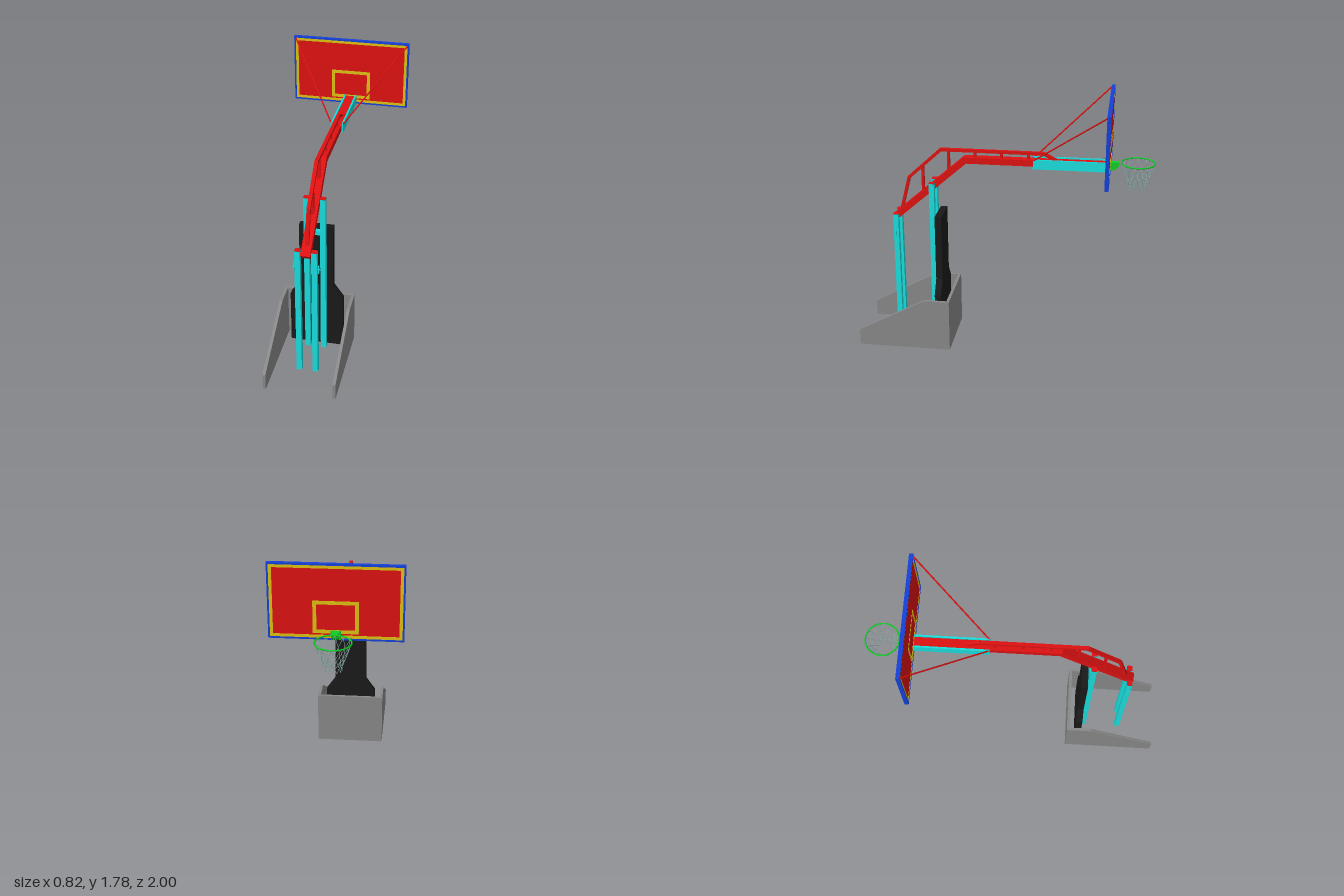
import * as THREE from 'three';

const mat = (color, side = THREE.FrontSide) => new THREE.MeshStandardMaterial({ color, side });
const red = mat(0xdd1111), cyan = mat(0x1adddd), black = mat(0x1a1a1a), grey = mat(0x888888);
const blue = mat(0x1540d8), yellow = mat(0xddc012), green = mat(0x11cc28), netMat = mat(0x8fb5b0);

function add(parent, name, geometry, material) {
  const mesh = new THREE.Mesh(geometry, material);
  mesh.name = name;
  parent.add(mesh);
  return mesh;
}

// Box given by its min and max corners
function box(parent, name, material, [x0, y0, z0], [x1, y1, z1]) {
  const m = add(parent, name, new THREE.BoxGeometry(x1 - x0, y1 - y0, z1 - z0), material);
  m.position.set((x0 + x1) / 2, (y0 + y1) / 2, (z0 + z1) / 2);
  return m;
}

// Side profile in (z, y), extruded along x and centred on x = cx
function sideProfile(parent, name, material, pts, width, cx = 0) {
  const shape = new THREE.Shape(pts.map(p => new THREE.Vector2(...p)));
  const g = new THREE.ExtrudeGeometry(shape, { depth: width, bevelEnabled: false });
  g.translate(0, 0, -width / 2).rotateY(-Math.PI / 2).translate(cx, 0, 0);
  return add(parent, name, g, material);
}

// Constant-thickness mitred outline around a polyline in (z, y)
function band(path, t) {
  const p = path.map(q => new THREE.Vector2(...q));
  const normal = i => {
    const d = p[i + 1].clone().sub(p[i]).normalize();
    return new THREE.Vector2(-d.y, d.x);
  };
  const a = [], b = [];
  p.forEach((q, i) => {
    const n0 = normal(Math.max(i - 1, 0)), n1 = normal(Math.min(i, p.length - 2));
    const m = n0.clone().add(n1).normalize();
    m.multiplyScalar(t / 2 / m.dot(n0));
    a.push([q.x + m.x, q.y + m.y]);
    b.unshift([q.x - m.x, q.y - m.y]);
  });
  return a.concat(b);
}

// Round rod between two points
function rod(parent, name, material, a, b, r, sides = 8) {
  const p = new THREE.Vector3(...a), q = new THREE.Vector3(...b);
  const d = q.clone().sub(p);
  const m = add(parent, name, new THREE.CylinderGeometry(r, r, d.length(), sides), material);
  m.position.copy(p).add(q).multiplyScalar(0.5);
  m.quaternion.setFromUnitVectors(new THREE.Vector3(0, 1, 0), d.normalize());
  return m;
}

// Rectangular frame with a border of width w, facing z
function frame(parent, name, material, [x0, y0, x1, y1], w, z, depth) {
  const rect = (C, a, b, c, d) => {
    const s = new C();
    s.moveTo(a, b); s.lineTo(c, b); s.lineTo(c, d); s.lineTo(a, d); s.closePath();
    return s;
  };
  const s = rect(THREE.Shape, x0, y0, x1, y1);
  s.holes.push(rect(THREE.Path, x0 + w, y0 + w, x1 - w, y1 - w));
  const g = new THREE.ExtrudeGeometry(s, { depth, bevelEnabled: false });
  return add(parent, name, g.translate(0, 0, z - depth / 2), material);
}

function makeBase() {
  const g = new THREE.Group();
  g.name = 'base';
  // Open housing: two sloping side walls and one cross wall
  const side = [[1, 0], [1, 0.115], [0.53, 0.37], [0.355, 0.37], [0.355, 0]];
  for (const s of [-1, 1]) sideProfile(g, 'sideWall', grey, side, 0.02, s * 0.23);
  box(g, 'crossWall', grey, [-0.22, 0, 0.355], [0.22, 0.37, 0.375]);

  // Protective pad, wide below and narrow above
  const half = [[0.18, 0.01], [0.18, 0.39], [0.113, 0.485], [0.113, 0.945]];
  const outline = [...half, ...half.map(([x, y]) => [-x, y]).reverse()];
  const pad = new THREE.ExtrudeGeometry(
    new THREE.Shape(outline.map(p => new THREE.Vector2(...p))), { depth: 0.045, bevelEnabled: false });
  add(g, 'pad', pad.translate(0, 0, 0.42), black);
  return g;
}

function makePosts() {
  const g = new THREE.Group();
  g.name = 'posts';
  for (const s of [-1, 1]) {
    for (const [name, z, top] of [['frontPost', 0.49, 1.175], ['rearPost', 0.746, 0.94]]) {
      const x = s * 0.054;
      box(g, name, cyan, [x - 0.018, 0, z - 0.018], [x + 0.018, top - 0.004, z + 0.018]);
      box(g, name + 'Cap', red, [x - 0.018, top - 0.004, z - 0.018], [x + 0.018, top, z + 0.018]);
    }
    // Latch plate on the outer face of each rear post
    box(g, 'latch', cyan, [s * 0.08 - 0.003, 0.78, 0.742], [s * 0.08 + 0.003, 0.84, 0.75]);
    rod(g, 'latchPin', cyan, [s * 0.07, 0.81, 0.746], [s * 0.09, 0.81, 0.746], 0.004);
  }
  box(g, 'crossBar', cyan, [-0.036, 0.905, 0.475], [0.036, 0.935, 0.505]);
  rod(g, 'frontAxle', red, [-0.06, 1.14, 0.49], [0.06, 1.14, 0.49], 0.008);
  rod(g, 'rearAxle', red, [-0.06, 0.915, 0.746], [0.06, 0.915, 0.746], 0.008);
  return g;
}

function makeArm() {
  const g = new THREE.Group();
  g.name = 'arm';
  const lower = [[0.762, 0.9], [0.265, 1.335], [-0.682, 1.335]];
  sideProfile(g, 'mainBeam', red, band(lower, 0.042), 0.062);
  const upper = [[0.722, 0.93], [0.657, 1.19], [0.432, 1.397], [-0.262, 1.397], [-0.35, 1.352]];
  sideProfile(g, 'upperBeam', red, band(upper, 0.02), 0.024);
  for (const [z, y0, y1] of [[0.56, 1.08, 1.28], [0.38, 1.235, 1.397], [0.2, 1.335, 1.397],
    [0.02, 1.335, 1.397], [-0.16, 1.335, 1.397]])
    box(g, 'strut', red, [-0.011, y0, z - 0.009], [0.011, y1, z + 0.009]);

  // Open-topped channel carrying the board
  for (const s of [-1, 1])
    box(g, 'channelSide', cyan, [s * 0.038 - 0.006, 1.3, -0.684], [s * 0.038 + 0.006, 1.365, -0.195]);
  box(g, 'channelFloor', cyan, [-0.032, 1.3, -0.684], [0.032, 1.312, -0.195]);

  // Diagonal stays to the top corners of the board
  for (const s of [-1, 1])
    rod(g, 'stay', red, [s * 0.04, 1.36, -0.2], [s * 0.403, 1.772, -0.69], 0.005);
  return g;
}

function makeBoard() {
  const g = new THREE.Group();
  g.name = 'backboard';
  const z = -0.695;
  box(g, 'panel', red, [-0.4, 1.31, z - 0.009], [0.4, 1.77, z + 0.009]);
  frame(g, 'rim', blue, [-0.41, 1.3, 0.41, 1.78], 0.011, z, 0.026);
  frame(g, 'borderLine', yellow, [-0.4, 1.31, 0.4, 1.77], 0.02, z, 0.021);
  frame(g, 'targetLine', yellow, [-0.137, 1.34, 0.14, 1.548], 0.023, z, 0.021);
  return g;
}

function makeHoop() {
  const g = new THREE.Group();
  g.name = 'hoop';
  const cz = -0.886, y = 1.36;
  sideProfile(g, 'bracket', green,
    [[-0.707, 1.305], [-0.707, 1.36], [-0.765, 1.362], [-0.76, 1.335], [-0.73, 1.31]], 0.042);
  box(g, 'mountPlate', green, [-0.03, 1.305, -0.716], [0.03, 1.36, -0.706]);
  const ring = add(g, 'ring', new THREE.TorusGeometry(0.11, 0.005, 8, 48), green);
  ring.rotation.x = Math.PI / 2;
  ring.position.set(0, y, cz);

  // Net: crossing cords that spiral down both ways
  const levels = [[0.108, 1.357], [0.088, 1.295], [0.068, 1.245], [0.056, 1.215], [0.053, 1.183]];
  const n = 12;
  for (let i = 0; i < n; i++) {
    for (const s of [-1, 1]) {
      const pts = levels.map(([r, h], k) => {
        const a = (i + s * k / 2) * Math.PI * 2 / n;
        return [r * Math.sin(a), h, cz + r * Math.cos(a)];
      });
      for (let k = 0; k < pts.length - 1; k++) rod(g, 'netCord', netMat, pts[k], pts[k + 1], 0.0015, 5);
    }
  }
  return g;
}

export function createModel() {
  const model = new THREE.Group();
  model.name = 'basketballStand';
  model.add(makeBase(), makePosts(), makeArm(), makeBoard(), makeHoop());
  return model;
}
